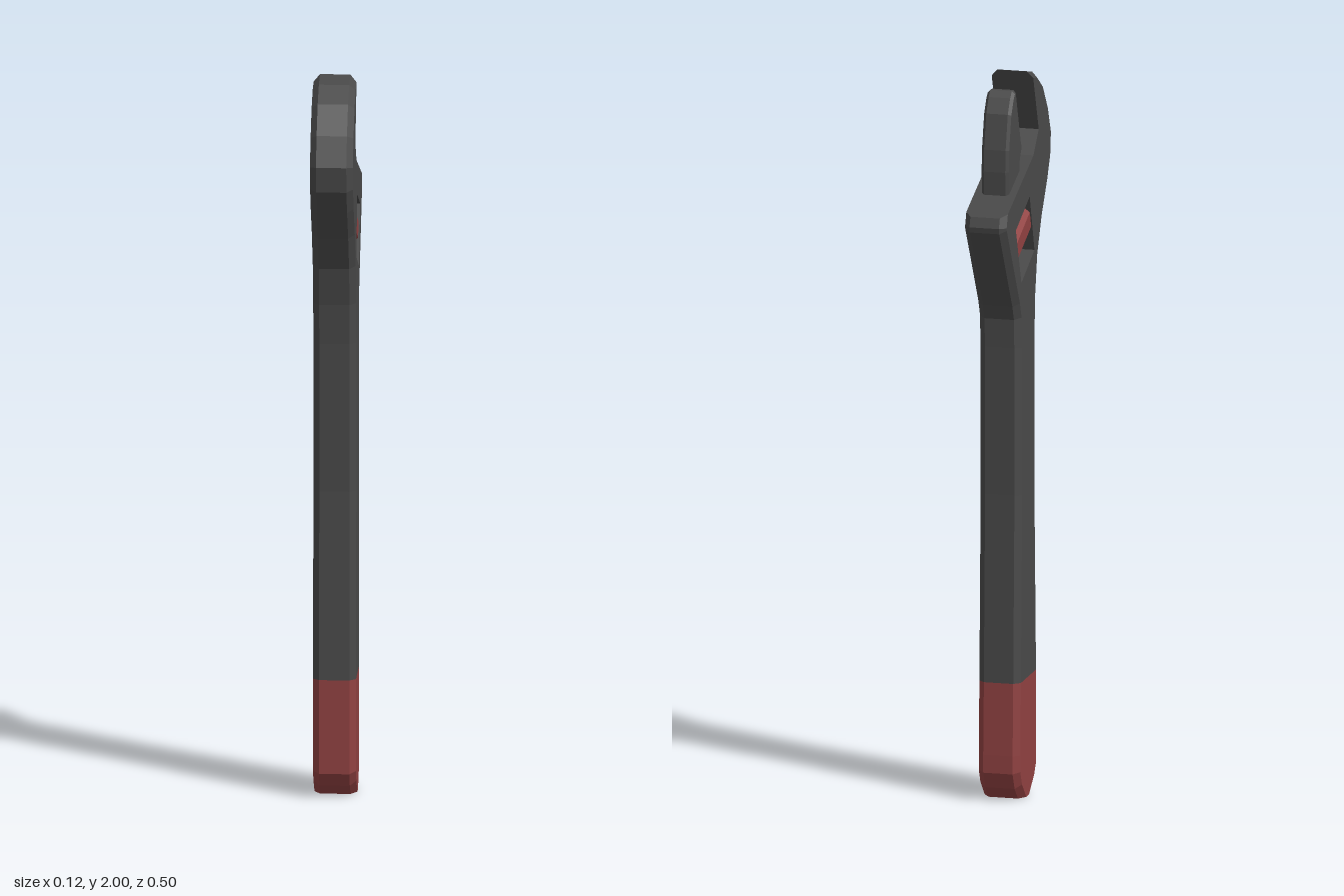
import * as THREE from 'three';

const darkSteel = new THREE.MeshStandardMaterial({ name: 'dark steel', color: 0x494949, flatShading: true });
const red = new THREE.MeshStandardMaterial({ name: 'red', color: 0x904141, flatShading: true });

// Moves every edge of a counter-clockwise outline inward by its own bevel.
function inset(pts, bevels) {
  const n = pts.length;
  const normal = (i) => {
    const a = pts[i], b = pts[(i + 1) % n];
    return new THREE.Vector2(b.y - a.y, a.x - b.x).normalize();
  };
  return pts.map((p, i) => {
    const j = (i + n - 1) % n;
    const n1 = normal(j), n2 = normal(i), d1 = bevels[j], d2 = bevels[i];
    const det = n1.x * n2.y - n1.y * n2.x;
    if (Math.abs(det) < 0.03) return p.clone().addScaledVector(n1, -(d1 + d2) / 2);
    return new THREE.Vector2(
      p.x - (d1 * n2.y - d2 * n1.y) / det,
      p.y - (n1.x * d2 - n2.x * d1) / det);
  });
}

// Plate with chamfered rims. Points are [u, v, bevel of the edge that follows];
// a bevel of null leaves that edge open (a joint to another part).
function plate(name, outline, half, bevel, material, holes = []) {
  const pts = outline.map(([u, v]) => new THREE.Vector2(u, v));
  const edge = outline.map((p) => (p[2] === undefined ? bevel : p[2]));
  const inner = inset(pts, edge.map((d) => d || 0));
  const holePts = holes.map((h) => h.map(([u, v]) => new THREE.Vector2(u, v)));
  const pos = [];
  const quad = (a, b, c, d) => pos.push(...a, ...b, ...c, ...a, ...c, ...d);
  const at = (p, w) => [p.x, p.y, w];

  // two large faces
  const all = [inner, ...holePts].flat();
  for (const [a, b, c] of THREE.ShapeUtils.triangulateShape(inner, holePts)) {
    pos.push(...at(all[a], half), ...at(all[b], half), ...at(all[c], half));
    pos.push(...at(all[c], -half), ...at(all[b], -half), ...at(all[a], -half));
  }
  // rim: chamfer, wall, chamfer
  const rim = half - bevel;
  const rows = [[inner, -half], [pts, -rim], [pts, rim], [inner, half]];
  pts.forEach((_, i) => {
    if (edge[i] === null) return;
    const j = (i + 1) % pts.length;
    for (let r = 0; r < 3; r++) {
      const [lo, wl] = rows[r], [hi, wh] = rows[r + 1];
      quad(at(lo[i], wl), at(lo[j], wl), at(hi[j], wh), at(hi[i], wh));
    }
  });
  // walls of the openings (clockwise loops)
  for (const h of holePts) {
    h.forEach((p, i) => {
      const q = h[(i + 1) % h.length];
      quad(at(p, -half), at(q, -half), at(q, half), at(p, half));
    });
  }
  const geo = new THREE.BufferGeometry();
  geo.setAttribute('position', new THREE.Float32BufferAttribute(pos, 3));
  geo.computeVertexNormals();
  geo.rotateY(Math.PI / 2);
  const mesh = new THREE.Mesh(geo, material);
  mesh.name = name;
  return mesh;
}

export function createModel() {
  const group = new THREE.Group();
  group.name = 'adjustableWrench';

  // handle, head and fixed jaw in one outline, with the adjuster window
  const body = [
    [-0.04, 2.0], [-0.10, 1.985], [-0.16, 1.945], [-0.215, 1.87], [-0.25, 1.79],
    [-0.242, 1.72], [-0.208, 1.655], [-0.15, 1.57], [-0.105, 1.475], [-0.084, 1.37],
    [-0.077, 1.26], [-0.076, 0.85], [-0.093, 0.33, null],
    [0.099, 0.33], [0.086, 0.85], [0.088, 1.26], [0.092, 1.34], [0.108, 1.38],
    [0.247, 1.615], [0.25, 1.63], [0.24, 1.657, 0],
    [-0.05, 1.765, 0], [-0.105, 1.825, 0],
  ];
  const window = [[-0.01, 1.66], [0.135, 1.6], [0.077, 1.44], [-0.06, 1.5]];
  group.add(plate('body', body, 0.058, 0.017, darkSteel, [window]));

  // dipped grip at the handle end
  const grip = [
    [-0.093, 0.33], [-0.095, 0.07], [-0.07, 0.032], [-0.03, 0, 0],
    [0.05, 0], [0.085, 0.035], [0.106, 0.08], [0.106, 0.13], [0.099, 0.33, null],
  ];
  group.add(plate('grip', grip, 0.058, 0.017, red));

  // sliding jaw, its foot sunk into the head
  const jaw = [
    [0.055, 1.97, 0.008], [0, 1.815, 0], [0, 1.8, 0], [0.02, 1.765, 0],
    [0.02, 1.71, 0], [0.137, 1.67], [0.142, 1.76], [0.138, 1.82], [0.115, 1.915],
    [0.09, 1.955], [0.073, 1.971],
  ];
  group.add(plate('movingJaw', jaw, 0.038, 0.008, darkSteel));

  // adjuster wheel across the window
  const wheelGeo = new THREE.CylinderGeometry(0.059, 0.059, 0.152, 8);
  wheelGeo.rotateY(Math.PI / 8).rotateZ(-1.963).translate(0.038, 1.563, 0).rotateY(Math.PI / 2);
  const wheel = new THREE.Mesh(wheelGeo, red);
  wheel.name = 'adjusterWheel';
  group.add(wheel);

  return group;
}
